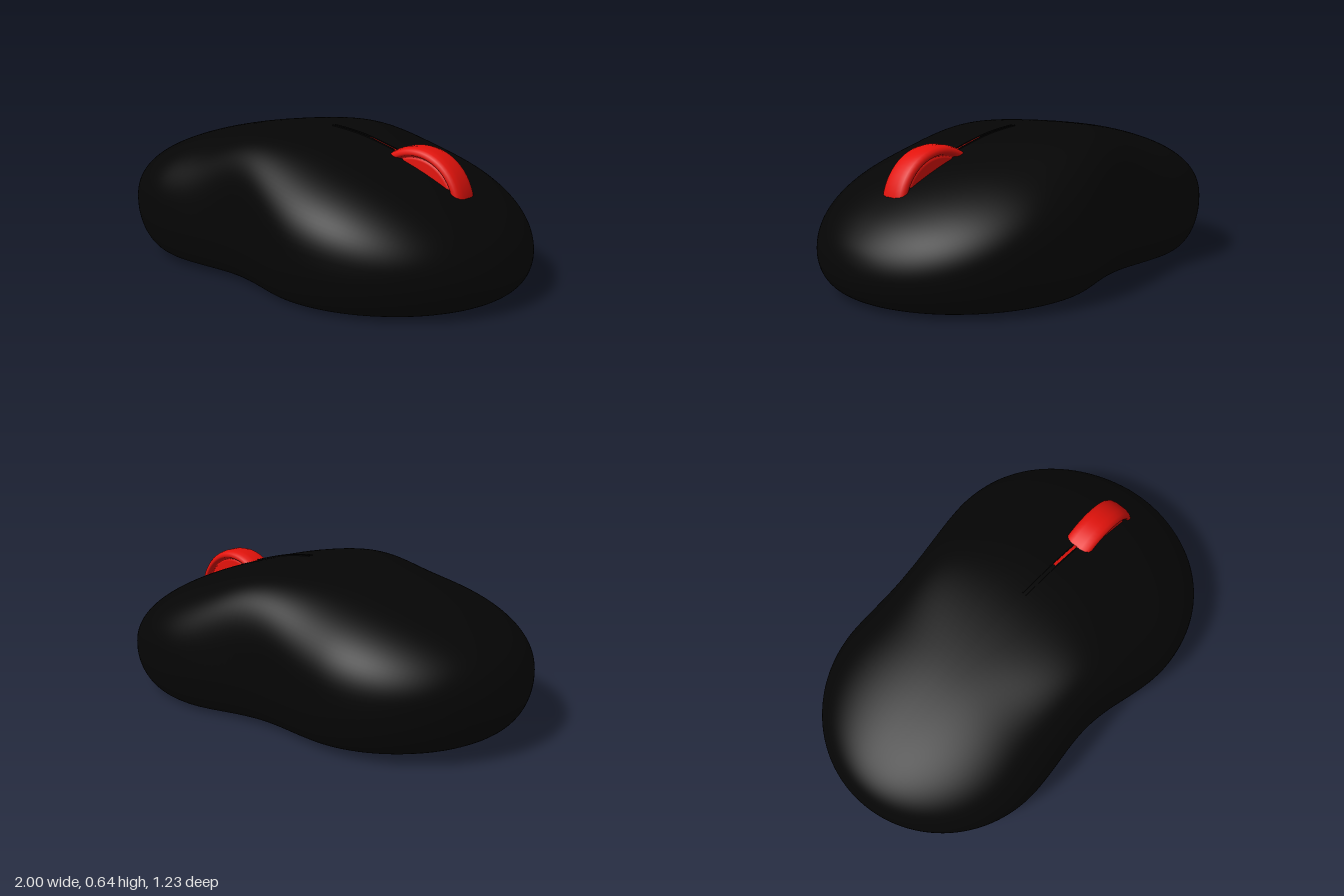
import * as THREE from 'three';

const black = new THREE.MeshStandardMaterial({ color: 0x050505 });
const red = new THREE.MeshStandardMaterial({ color: 0xe2120b });

// Height lookup along x from a smooth side profile
function heightAlong(points) {
  const curve = new THREE.CatmullRomCurve3(points.map(([x, y]) => new THREE.Vector3(x, y, 0)));
  const s = curve.getPoints(800);
  return (x) => {
    let i = 1;
    while (i < s.length - 1 && s[i].x < x) i++;
    const a = s[i - 1], b = s[i];
    const t = THREE.MathUtils.clamp((x - a.x) / (b.x - a.x || 1), 0, 1);
    return a.y + (b.y - a.y) * t;
  };
}

const topAt = heightAlong([[-1, 0.25], [-0.998, 0.285], [-0.985, 0.335], [-0.95, 0.393], [-0.88, 0.45], [-0.7, 0.53],
  [-0.4, 0.608], [-0.05, 0.64], [0.2, 0.62], [0.4, 0.57], [0.6, 0.5], [0.78, 0.413], [0.9, 0.33], [0.97, 0.25],
  [0.995, 0.185], [1, 0.14]]);
const widestAt = (x) => 0.24 - 0.03 * x - 0.045 * x * x - 0.025 * x ** 3;
const baseAt = (x) => 0.0175 - 0.0205 * x;

// Half width in plan: two round lobes joined by a waist
function halfWidth(x) {
  const round = (c, r, len) => r * Math.sqrt(Math.max(0, 1 - ((x - c) / len) ** 2));
  if (x < -0.45) return round(-0.45, 0.545, 0.55);
  if (x > 0.38) return round(0.38, 0.616, 0.62);
  const s = (x + 0.45) / 0.83;
  return 0.545 + 0.071 * s * s * (3 - 2 * s) - 0.048 * Math.sin(Math.PI * s) ** 2;
}

// One closed loop: crown from left to right, lower wall tucking in, flat base, wall back up
function shellLoop(x, crownSteps = 56, wallSteps = 14, baseSteps = 12) {
  const w = halfWidth(x), mid = widestAt(x), loop = [];
  const full = 1 - x ** 4;
  const shoulder = Math.exp(-(((x + 0.02) / 0.22) ** 2));
  const nz = 2 + full * (0.35 + 1.6 * shoulder);
  const ny = 2 + full * (0.6 + 1.2 * shoulder);
  for (let j = 0; j < crownSteps; j++) {
    const a = (Math.PI * j) / crownSteps, c = Math.cos(a);
    loop.push([x, mid + (topAt(x) - mid) * Math.sin(a) ** (2 / ny), w * Math.sign(c) * Math.abs(c) ** (2 / nz)]);
  }
  const wall = (t, side) => {
    const phi = (t * Math.PI) / 2;
    const k = 1 - 0.155 * (1 - Math.cos(phi));
    return [x * k, THREE.MathUtils.lerp(mid, baseAt(x * k), Math.sin(phi)), side * w * k];
  };
  for (let j = 0; j < wallSteps; j++) loop.push(wall(j / wallSteps, -1));
  for (let j = 0; j < baseSteps; j++) loop.push(wall(1, (2 * j) / baseSteps - 1));
  for (let j = wallSteps; j > 0; j--) loop.push(wall(j / wallSteps, 1));
  return loop;
}

function shellGeometry(stations = 100) {
  const pos = [], idx = [];
  for (let i = 0; i <= stations; i++) {
    const loop = shellLoop(-Math.cos((Math.PI * i) / stations));
    const n = loop.length;
    loop.forEach(([x, y, z], j) => {
      pos.push(x, y, z - 0.004);
      if (i === stations) return;
      const p = i * n + j, q = i * n + ((j + 1) % n);
      idx.push(p, p + n, q + n, p, q + n, q);
    });
  }
  const g = new THREE.BufferGeometry();
  g.setAttribute('position', new THREE.Float32BufferAttribute(pos, 3));
  g.setIndex(idx);
  g.computeVertexNormals();
  return g;
}

// Thin strip that follows the crown of the shell
function crownStrip(x0, x1, width, lift, z) {
  const n = 24;
  const edge = Array.from({ length: n + 1 }, (_, i) => x0 + ((x1 - x0) * i) / n);
  const shape = new THREE.Shape([
    ...edge.map((x) => new THREE.Vector2(x, topAt(x) + lift)),
    ...edge.slice().reverse().map((x) => new THREE.Vector2(x, topAt(x) - 0.02)),
  ]);
  const g = new THREE.ExtrudeGeometry(shape, { depth: width, bevelEnabled: false });
  g.translate(0, 0, z - width / 2 - 0.004);
  return g;
}

// Rounded tyre with a rim step and shallow recessed sides
function wheelGeometry() {
  const half = [[0, 0.052], [0.182, 0.052], [0.188, 0.044], [0.194, 0.044], [0.2, 0.061],
    [0.208, 0.065], [0.22, 0.061], [0.229, 0.049], [0.235, 0.025]];
  const profile = [...half.map(([r, y]) => [r, -y]), ...half.slice().reverse()];
  const g = new THREE.LatheGeometry(profile.map(([r, y]) => new THREE.Vector2(r, y)), 64);
  g.rotateX(Math.PI / 2);
  return g;
}

export function createModel() {
  const group = new THREE.Group();
  const add = (name, geometry, material) => {
    const mesh = new THREE.Mesh(geometry, material);
    mesh.name = name;
    group.add(mesh);
    return mesh;
  };
  add('bodyShell', shellGeometry(), black);
  add('scrollWheel', wheelGeometry(), red).position.set(0.552, 0.363, -0.003);
  add('wheelSlotStrip', crownStrip(0.28, 0.78, 0.014, 0.001, 0), red);
  // Low lips on both sides of the button seam
  for (const side of [-1, 1]) add('seamLip', crownStrip(0.08, 0.42, 0.004, 0.005, side * 0.009), black);
  return group;
}
